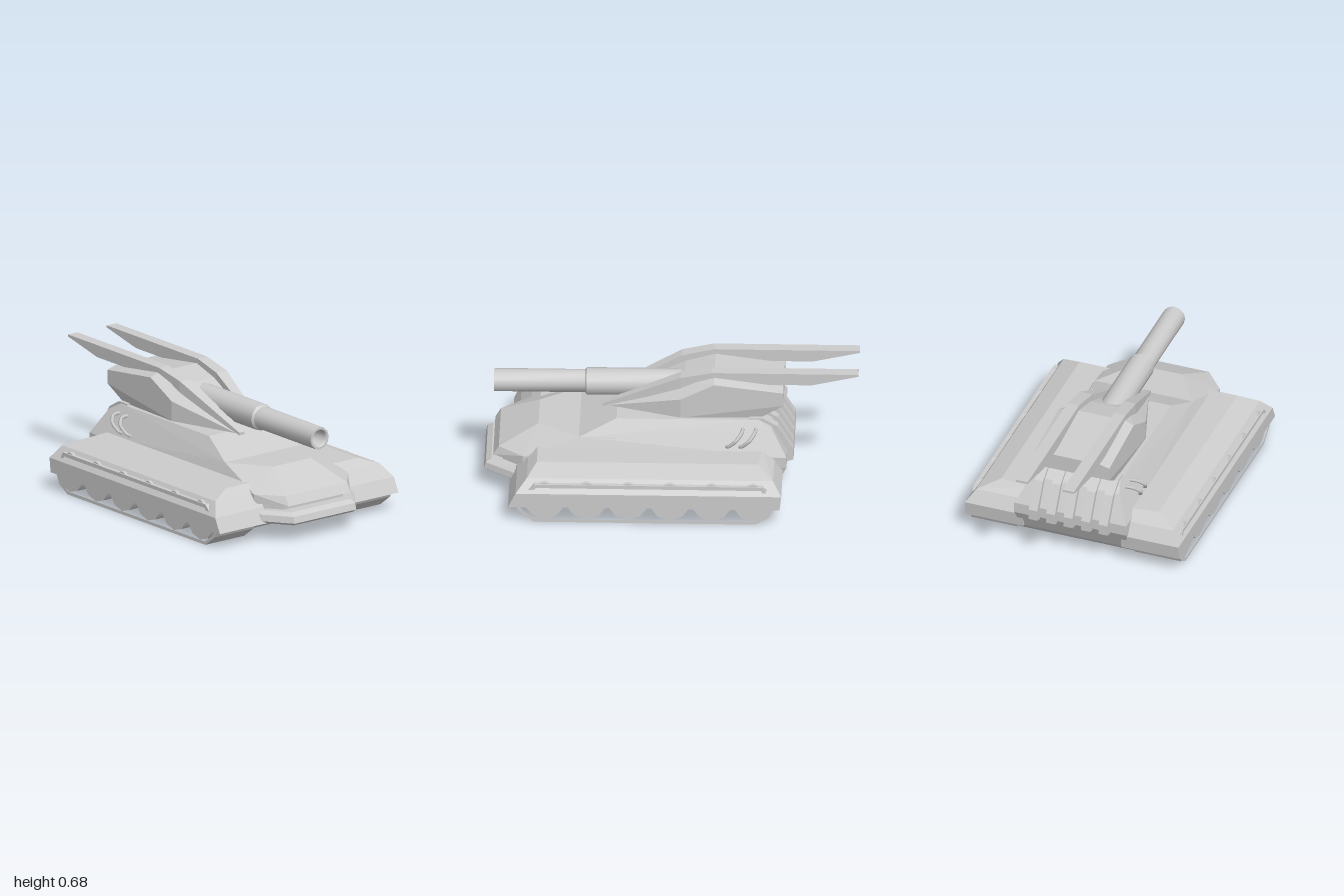
import * as THREE from 'three';
import { ConvexGeometry } from 'three/addons/geometries/ConvexGeometry.js';
import { toCreasedNormals } from 'three/addons/utils/BufferGeometryUtils.js';

const grey = new THREE.MeshStandardMaterial({ color: 0xcccccc });

function add(group, name, geometry) {
  const mesh = new THREE.Mesh(geometry, grey);
  mesh.name = name;
  group.add(mesh);
  return mesh;
}

// Faceted solid, symmetric about x = 0, from the corners of its left half
function symmetricHull(points) {
  const all = [];
  for (const [x, y, z] of points) {
    all.push(new THREE.Vector3(x, y, z), new THREE.Vector3(-x, y, z));
  }
  return new ConvexGeometry(all);
}

// Side profile of [z, y] points, extruded across x and centred on x
function sideExtrude(outline, width, x, hole) {
  const vec = (list) => list.map(([z, y]) => new THREE.Vector2(z, y));
  const shape = new THREE.Shape(vec(outline));
  if (hole) shape.holes.push(new THREE.Path(vec(hole)));
  return new THREE.ExtrudeGeometry(shape, { depth: width, bevelEnabled: false })
    .translate(0, 0, -width / 2)
    .rotateY(-Math.PI / 2)
    .translate(x, 0, 0);
}

// Bar of rectangular sections [z, yLow, yHigh, xIn, xOut], running front to back
function barLoft(stations, side) {
  const pos = [], index = [];
  for (const [z, y0, y1, xIn, xOut] of stations) {
    const a = side > 0 ? xIn : -xOut, b = side > 0 ? xOut : -xIn;
    pos.push(a, y0, z, b, y0, z, b, y1, z, a, y1, z);
  }
  for (let i = 0; i < stations.length - 1; i++) {
    for (let j = 0; j < 4; j++) {
      const a = i * 4 + j, b = i * 4 + (j + 1) % 4, c = b + 4, d = a + 4;
      index.push(a, d, c, a, c, b);
    }
  }
  const e = (stations.length - 1) * 4;
  index.push(0, 1, 2, 0, 2, 3, e, e + 2, e + 1, e, e + 3, e + 2);
  const geo = new THREE.BufferGeometry();
  geo.setAttribute('position', new THREE.Float32BufferAttribute(pos, 3));
  geo.setIndex(index);
  const flat = geo.toNonIndexed();
  flat.computeVertexNormals();
  return flat;
}

function buildHull() {
  const hull = new THREE.Group();
  hull.name = 'hull';
  add(hull, 'hullBody', symmetricHull([
    [0.23, 0.44, 0.29], [0.23, 0.44, -0.47], [0.25, 0.4, -0.54],
    [0.28, 0.35, 0.49], [0.32, 0.25, 0.49], [0.32, 0.2, 0.49],
    [0.32, 0.26, -0.62], [0.32, 0.2, -0.62], [0.3, 0.1, 0.49], [0.3, 0.1, -0.57],
  ]));
  add(hull, 'upperNose', symmetricHull([
    [0.28, 0.35, 0.3], [0.28, 0.35, 0.49], [0.13, 0.35, 0.71],
    [0.21, 0.25, 0.92], [0.32, 0.25, 0.79], [0.32, 0.2, 0.79],
    [0.21, 0.2, 0.95], [0.32, 0.25, 0.3], [0.32, 0.2, 0.3],
  ]));
  add(hull, 'noseRecess', symmetricHull([
    [0.3, 0.21, 0.4], [0.3, 0.14, 0.4], [0.3, 0.21, 0.77],
    [0.3, 0.14, 0.77], [0.2, 0.21, 0.9], [0.2, 0.14, 0.9],
  ]));
  add(hull, 'lowerBumper', symmetricHull([
    [0.31, 0.168, 0.4], [0.31, 0.168, 0.82], [0.2, 0.168, 0.96],
    [0.32, 0.15, 0.84], [0.21, 0.15, 0.99], [0.32, 0.115, 0.85],
    [0.21, 0.115, 1.0], [0.31, 0.1, 0.83], [0.2, 0.1, 0.98], [0.31, 0.1, 0.4],
  ]));

  // Vertical ribs over the sloping rear
  const rib = [[-0.42, 0.3], [-0.42, 0.448], [-0.49, 0.448], [-0.57, 0.4],
    [-0.655, 0.26], [-0.655, 0.2], [-0.59, 0.18]];
  for (let i = -2; i <= 2; i++) {
    add(hull, 'rearRib', sideExtrude(rib, 0.05, i * 0.1));
  }

  // Pairs of bent grab handles on the flanks
  for (const s of [1, -1]) {
    for (const dz of [0, -0.07]) {
      const path = new THREE.CatmullRomCurve3([
        [0.24, 0.395, -0.385], [0.295, 0.395, -0.38], [0.325, 0.36, -0.35], [0.31, 0.315, -0.305], [0.28, 0.31, -0.3],
      ].map(([x, y, z]) => new THREE.Vector3(s * x, y, z + dz)), false, 'catmullrom', 0.2);
      add(hull, 'grabHandle', new THREE.TubeGeometry(path, 10, 0.01, 6));
    }
  }
  return hull;
}

function buildRunningGear() {
  const gear = new THREE.Group();
  gear.name = 'runningGear';
  const band = [[0.83, 0.12], [0.8, 0.065], [0.72, 0.005], [-0.46, 0.005],
    [-0.53, 0.045], [-0.565, 0.12], [-0.5, 0.23], [0.72, 0.23]];
  const inner = [[0.81, 0.12], [0.785, 0.075], [0.715, 0.022], [-0.455, 0.022],
    [-0.515, 0.055], [-0.545, 0.12], [-0.49, 0.21], [0.71, 0.21]];
  for (const s of [1, -1]) {
    add(gear, 'trackBand', sideExtrude(band, 0.265, s * 0.4655, inner));
    // Sloped fender over each track
    const corners = [
      [0.28, 0.1, 0.86, -0.59], [0.61, 0.1, 0.86, -0.59],
      [0.28, 0.18, 0.82, -0.6], [0.61, 0.18, 0.82, -0.6],
      [0.28, 0.25, 0.76, -0.555], [0.56, 0.25, 0.76, -0.555],
      [0.28, 0.29, 0.71, -0.49], [0.45, 0.29, 0.71, -0.47],
    ];
    const pts = corners.flatMap(([x, y, z0, z1]) =>
      [new THREE.Vector3(s * x, y, z0), new THREE.Vector3(s * x, y, z1)]);
    add(gear, 'fender', new ConvexGeometry(pts));
  }
  // Road rollers spanning both tracks
  for (let i = 0; i < 6; i++) {
    const roller = new THREE.CylinderGeometry(0.11, 0.11, 1.18, 10)
      .rotateZ(Math.PI / 2).rotateX(Math.PI / 10);
    roller.translate(0, 0.13, 0.665 - 0.223 * i);
    add(gear, 'roadRoller', toCreasedNormals(roller, 0.8));
  }
  return gear;
}

function buildTurret() {
  const turret = new THREE.Group();
  turret.name = 'turret';
  add(turret, 'turretBody', symmetricHull([
    [0.16, 0.66, -0.23], [0.215, 0.64, -0.23], [0.16, 0.61, -0.6],
    [0.215, 0.595, -0.6], [0.215, 0.52, -0.6], [0.2, 0.44, -0.48],
    [0.215, 0.55, -0.05], [0.13, 0.62, -0.07], [0.215, 0.44, -0.05],
    [0.085, 0.44, 0.34],
  ]));
  // Long swept fins from the turret nose to beyond the rear
  const fin = [
    [0.37, 0.435, 0.45, 0.05, 0.087], [-0.05, 0.58, 0.652, 0.09, 0.16],
    [-0.22, 0.63, 0.687, 0.1, 0.165], [-0.43, 0.62, 0.687, 0.1, 0.165],
    [-0.75, 0.62, 0.687, 0.1, 0.165], [-1.0, 0.676, 0.687, 0.1, 0.165],
  ];
  for (const s of [1, -1]) add(turret, 'fin', barLoft(fin, s));

  // Stepped gun barrel with an open bore
  const profile = [[0, 0.8], [0.043, 0.8], [0.043, 0.94], [0.05, 0.95], [0.062, 0.95],
    [0.062, 0.465], [0.073, 0.455], [0.073, -0.12], [0, -0.12]]
    .reverse().map(([r, z]) => new THREE.Vector2(r, z));
  const barrel = new THREE.LatheGeometry(profile, 12).rotateX(Math.PI / 2);
  barrel.translate(0, 0.54, 0);
  add(turret, 'gunBarrel', toCreasedNormals(barrel, 0.7));
  return turret;
}

export function createModel() {
  const model = new THREE.Group();
  model.name = 'tank';
  model.add(buildHull(), buildRunningGear(), buildTurret());
  return model;
}
